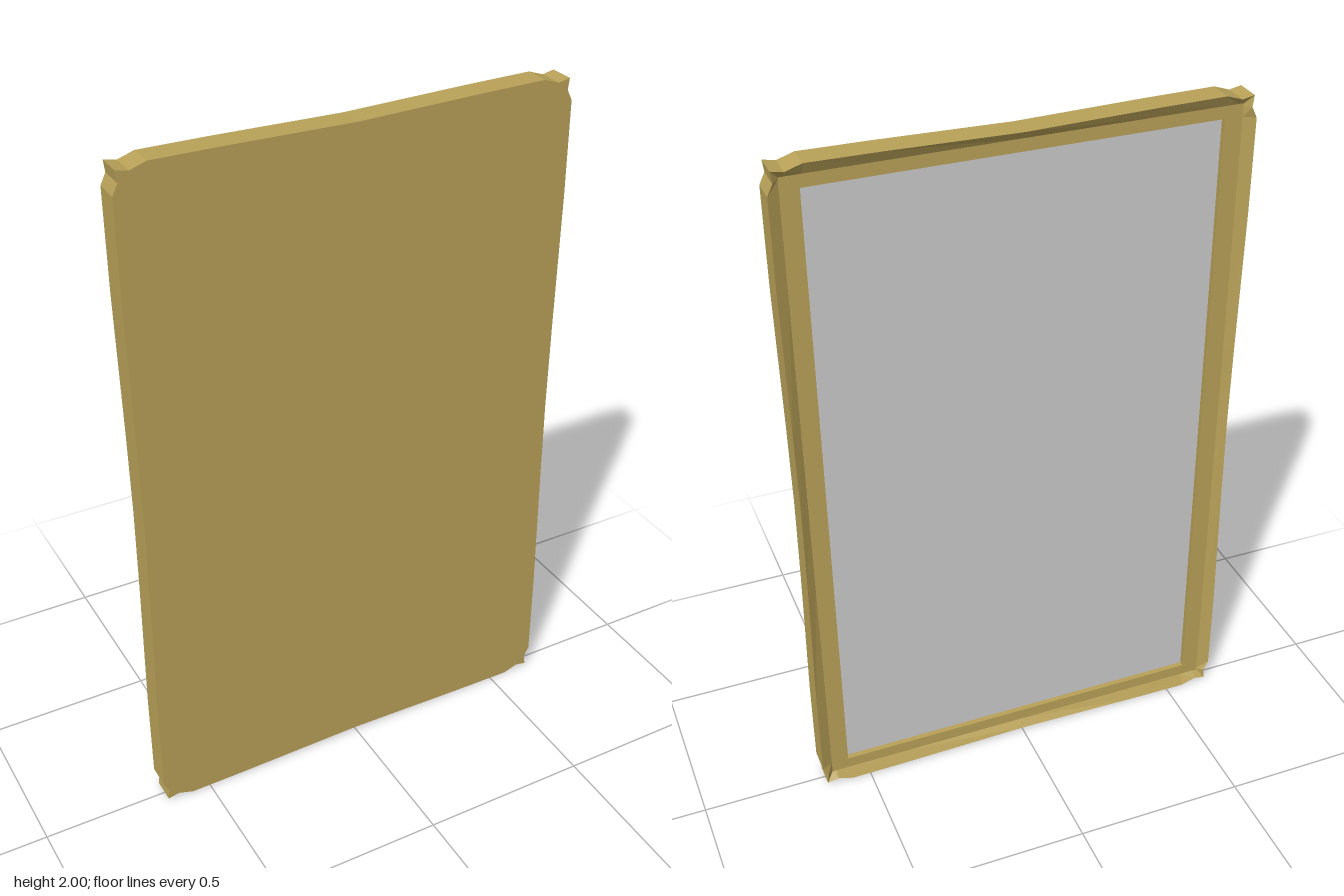
import * as THREE from 'three';

const FRONT = 0.037, BACK = -0.037, LEDGE = -0.02, PANEL = -0.004;

// Quarter outline, from the middle of the +x side to the middle of the top (y measured from the centre)
const QUARTER = [
  [0.637, 0], [0.639, 0.25], [0.645, 0.66], [0.645, 0.93], [0.63, 0.96],
  [0.634, 0.992], [0.6, 0.985], [0.555, 1], [0.37, 0.998], [0, 0.99],
];

// Mirror the quarter into a full counter-clockwise loop
function outline() {
  const rev = [...QUARTER].reverse();
  return [
    ...QUARTER,
    ...rev.slice(1).map(([x, y]) => [-x, y]),
    ...QUARTER.slice(1).map(([x, y]) => [-x, -y]),
    ...rev.slice(1, -1).map(([x, y]) => [x, -y]),
  ];
}

// Pull a loop inside a rectangle of the given half sizes
function clampLoop(loop, hx, hy) {
  const c = THREE.MathUtils.clamp;
  return loop.map(([x, y]) => [c(x, -hx, hx), c(y, -hy, hy)]);
}

// Skin a list of { loop, z } sections, starting from a filled front face
function skin(sections) {
  const pos = [];
  const put = ([x, y], z) => pos.push(x, y + 1, z);
  const n = sections[0].loop.length;
  for (let i = 0; i < n; i++) {
    const j = (i + 1) % n;
    const first = sections[0];
    put([0, 0], first.z);
    put(first.loop[i], first.z);
    put(first.loop[j], first.z);
    for (let s = 0; s < sections.length - 1; s++) {
      const a = sections[s], b = sections[s + 1];
      put(a.loop[i], a.z); put(b.loop[i], b.z); put(b.loop[j], b.z);
      put(a.loop[i], a.z); put(b.loop[j], b.z); put(a.loop[j], a.z);
    }
  }
  const geo = new THREE.BufferGeometry();
  geo.setAttribute('position', new THREE.Float32BufferAttribute(pos, 3));
  geo.computeVertexNormals();
  return geo;
}

export function createModel() {
  const group = new THREE.Group();
  const outer = outline();
  const hx = 0.562, hy = 0.932;
  const hole = clampLoop(outer, hx, hy);

  // Frame: flat face, outer wall, sloping lip, ledge and recess wall
  const frame = new THREE.Mesh(
    skin([
      { loop: outer, z: FRONT },
      { loop: outer, z: BACK },
      { loop: clampLoop(outer, 0.613, 0.967), z: LEDGE },
      { loop: hole, z: LEDGE },
      { loop: hole, z: PANEL },
    ]),
    new THREE.MeshStandardMaterial({ color: 0xb8a158, flatShading: true }),
  );
  frame.name = 'frame';
  group.add(frame);

  // Grey panel set into the recess, facing the back
  const panel = new THREE.Mesh(
    new THREE.PlaneGeometry(hx * 2, hy * 2),
    new THREE.MeshStandardMaterial({ color: 0xcccccc }),
  );
  panel.name = 'panel';
  panel.rotation.y = Math.PI;
  panel.position.set(0, 1, PANEL);
  group.add(panel);

  return group;
}
